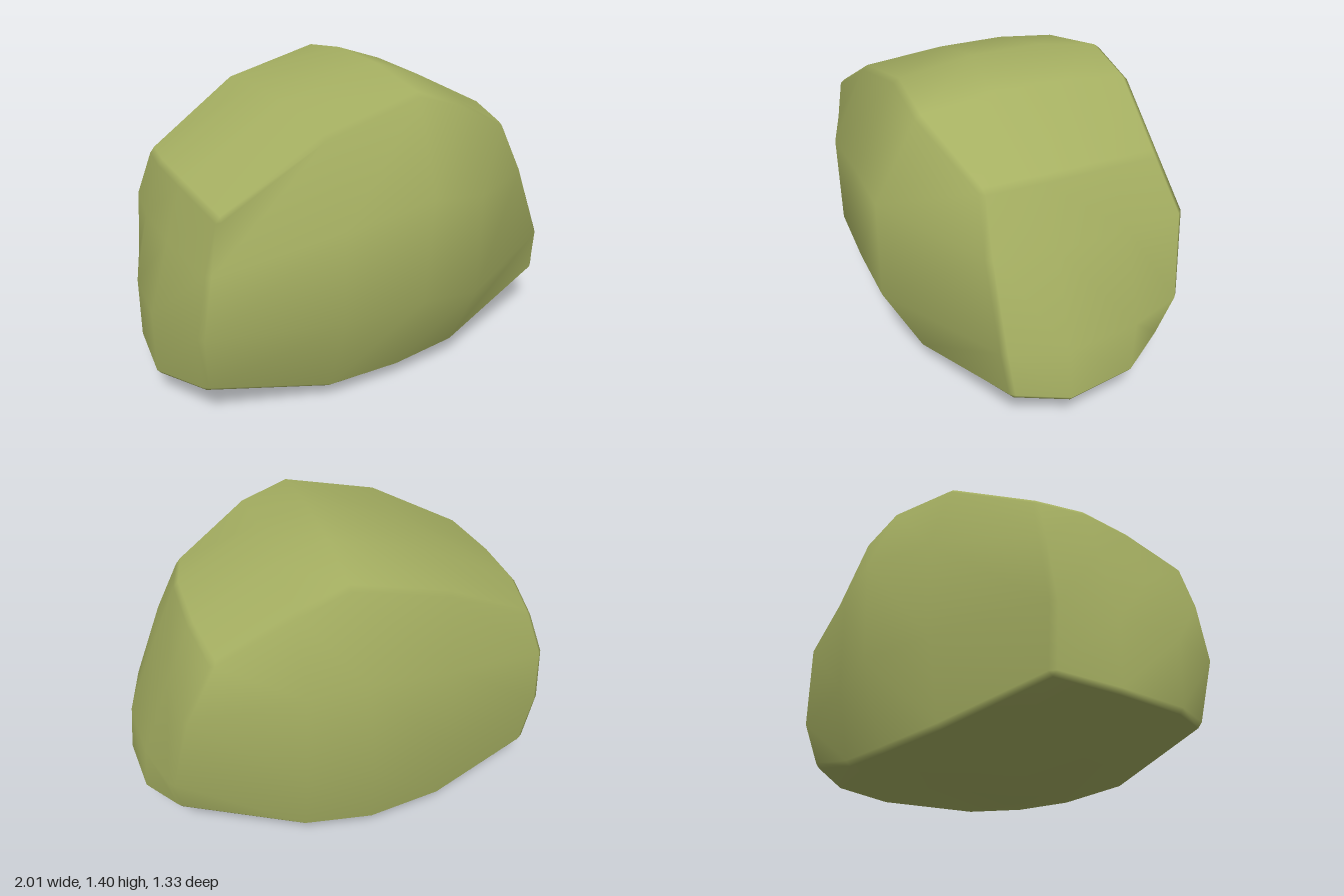
import * as THREE from 'three';

// Boulder: a box lattice of 4 x 3 x 3 cells, warped so that every side swells.
const N = [4, 3, 3];
const BEVEL = 0.018;

// Twelve edges: [varying axis, lattice start, points from low to high index].
const LBK = [-0.84, 0.195, -0.405], LBF = [-0.88, 0.17, 0.395];
const LTK = [-0.78, 0.97, -0.41], LTF = [-0.8, 0.975, 0.47];
const RBK = [0.845, 0.26, -0.41], RBF = [0.925, 0.245, 0.335];
const RTK = [0.645, 1.055, -0.465], RTF = [0.65, 1.075, 0.345];
const EDGES = [
  [0, [0, 0, 0], [LBK, [-0.34, 0.1, -0.54], [0, 0.085, -0.575], [0.31, 0.11, -0.55], RBK]],
  [0, [0, 0, 3], [LBF, [-0.34, 0.065, 0.5], [0, 0.06, 0.5], [0.31, 0.085, 0.48], RBF]],
  [0, [0, 3, 0], [LTK, [-0.34, 1.225, -0.505], [0.09, 1.33, -0.495], [0.31, 1.26, -0.51], RTK]],
  [0, [0, 3, 3], [LTF, [-0.34, 1.235, 0.475], [0.095, 1.343, 0.475], [0.31, 1.27, 0.465], RTF]],
  [1, [0, 0, 0], [LBK, [-0.88, 0.47, -0.425], [-0.85, 0.76, -0.445], LTK]],
  [1, [0, 0, 3], [LBF, [-0.91, 0.47, 0.47], [-0.865, 0.75, 0.48], LTF]],
  [1, [4, 0, 0], [RBK, [0.88, 0.47, -0.475], [0.795, 0.83, -0.515], RTK]],
  [1, [4, 0, 3], [RBF, [0.905, 0.47, 0.365], [0.765, 0.83, 0.365], RTF]],
  [2, [0, 0, 0], [LBK, [-0.97, 0.14, -0.18], [-1, 0.13, 0.12], LBF]],
  [2, [0, 3, 0], [LTK, [-0.82, 1, -0.16], [-0.82, 1, 0.1], LTF]],
  [2, [4, 0, 0], [RBK, [0.975, 0.22, -0.2], [1.005, 0.205, 0.1], RBF]],
  [2, [4, 3, 0], [RTK, [0.69, 1.09, -0.2], [0.7, 1.1, 0.1], RTF]],
];
// Extra outward swelling of the inner nodes: [low side, high side] per axis.
const BULGE = [
  [[-0.01, 0.005, -0.02, -0.02], [-0.02, -0.01, -0.035, -0.025]],
  [[0.04, 0.03, 0.03, 0.04, 0.03, 0.03], [0.005, 0.02, 0.01, 0.005, 0.02, 0.01]],
  [[0.04, 0.045, 0.085, 0.085, 0.035, 0.04], [0.1, 0.125, 0.135, 0.155, 0.155, 0.165]],
];

const node = (a, va, b, vb, c, vc) => {
  const n = [0, 0, 0];
  n[a] = va; n[b] = vb; n[c] = vc;
  return n;
};

function buildRock() {
  const lattice = {};
  for (const [axis, start, pts] of EDGES) {
    pts.forEach((p, i) => {
      const n = [...start];
      n[axis] = i;
      lattice[n] = new THREE.Vector3(...p);
    });
  }

  const positions = [], index = [], vertexOf = {}, verts = [];
  const centre = new THREE.Vector3(0, 0.6, 0);

  // Add a triangle, turned to face away from the centre.
  const tri = (a, b, c) => {
    const t = new THREE.Triangle(verts[a], verts[b], verts[c]);
    const out = t.getMidpoint(new THREE.Vector3()).sub(centre);
    if (t.getNormal(new THREE.Vector3()).dot(out) < 0) index.push(a, c, b);
    else index.push(a, b, c);
  };
  const quad = (a, b, c, d) => { tri(a, b, c); tri(a, c, d); };

  for (let a = 0; a < 3; a++) {
    for (const s of [0, 1]) {
      const b = (a + 1) % 3, c = (a + 2) % 3, nb = N[b], nc = N[c];
      const key = (i, j) => node(a, s * N[a], b, i, c, j);
      const at = (i, j) => lattice[key(i, j)];

      // Fill the side between its four edges and swell it
      for (let i = 1; i < nb; i++) {
        for (let j = 1; j < nc; j++) {
          const u = i / nb, v = j / nc;
          const across = at(0, j).clone().lerp(at(nb, j), u);
          const along = at(i, 0).clone().lerp(at(i, nc), v);
          const p = across.clone().add(along)
            .sub(at(0, 0).clone().lerp(at(nb, 0), u).lerp(at(0, nc).clone().lerp(at(nb, nc), u), v));
          // Keep the columns in line with the long edges
          if (a === 1) p.x = across.x;
          if (a === 2) p.x = along.x;
          const swell = BULGE[a][s][(i - 1) * (nc - 1) + j - 1];
          p.setComponent(a, p.getComponent(a) + (s ? swell : -swell));
          lattice[key(i, j)] = p;
        }
      }
      if (a === 1) {
        // On top and bottom the long edges run along the second direction
        for (let i = 1; i < nb; i++) {
          for (let j = 1; j < nc; j++) at(i, j).x = THREE.MathUtils.lerp(at(0, j).x, at(nb, j).x, i / nb);
        }
      }

      // Own vertices for the side, its border pulled in to leave room for the bevel
      const inset = (p, from, to) => p.addScaledVector(to.clone().sub(from).normalize(), BEVEL);
      const id = (i, j) => vertexOf[[a, s, key(i, j)]];
      for (let i = 0; i <= nb; i++) {
        for (let j = 0; j <= nc; j++) {
          const o = at(i, j), p = o.clone();
          if (i === 0) inset(p, o, at(1, j));
          if (i === nb) inset(p, o, at(nb - 1, j));
          if (j === 0) inset(p, o, at(i, 1));
          if (j === nc) inset(p, o, at(i, nc - 1));
          vertexOf[[a, s, key(i, j)]] = verts.length;
          verts.push(p);
          positions.push(p.x, p.y, p.z);
        }
      }
      for (let i = 0; i < nb; i++) {
        for (let j = 0; j < nc; j++) quad(id(i, j), id(i + 1, j), id(i + 1, j + 1), id(i, j + 1));
      }
    }
  }

  // Smooth normals within each side
  const geometry = new THREE.BufferGeometry();
  geometry.setAttribute('position', new THREE.Float32BufferAttribute(positions, 3));
  geometry.setIndex([...index]);
  geometry.computeVertexNormals();

  // Bevel strips along the edges, sharing the normals of the sides
  for (let d = 0; d < 3; d++) {
    const a = (d + 1) % 3, b = (d + 2) % 3;
    for (const sa of [0, 1]) {
      for (const sb of [0, 1]) {
        for (let i = 0; i < N[d]; i++) {
          const n0 = node(d, i, a, sa * N[a], b, sb * N[b]);
          const n1 = node(d, i + 1, a, sa * N[a], b, sb * N[b]);
          quad(vertexOf[[a, sa, n0]], vertexOf[[a, sa, n1]], vertexOf[[b, sb, n1]], vertexOf[[b, sb, n0]]);
        }
      }
    }
  }

  // Corner triangles
  for (let m = 0; m < 8; m++) {
    const s = [m & 1, (m >> 1) & 1, m >> 2];
    const n = s.map((v, a) => v * N[a]);
    tri(...s.map((v, a) => vertexOf[[a, v, n]]));
  }
  geometry.setIndex(index);
  return geometry;
}

export function createModel() {
  const group = new THREE.Group();
  group.name = 'boulder';
  const rock = new THREE.Mesh(buildRock(), new THREE.MeshStandardMaterial({ color: 0xa6b062 }));
  rock.name = 'rock';
  group.add(rock);
  return group;
}
